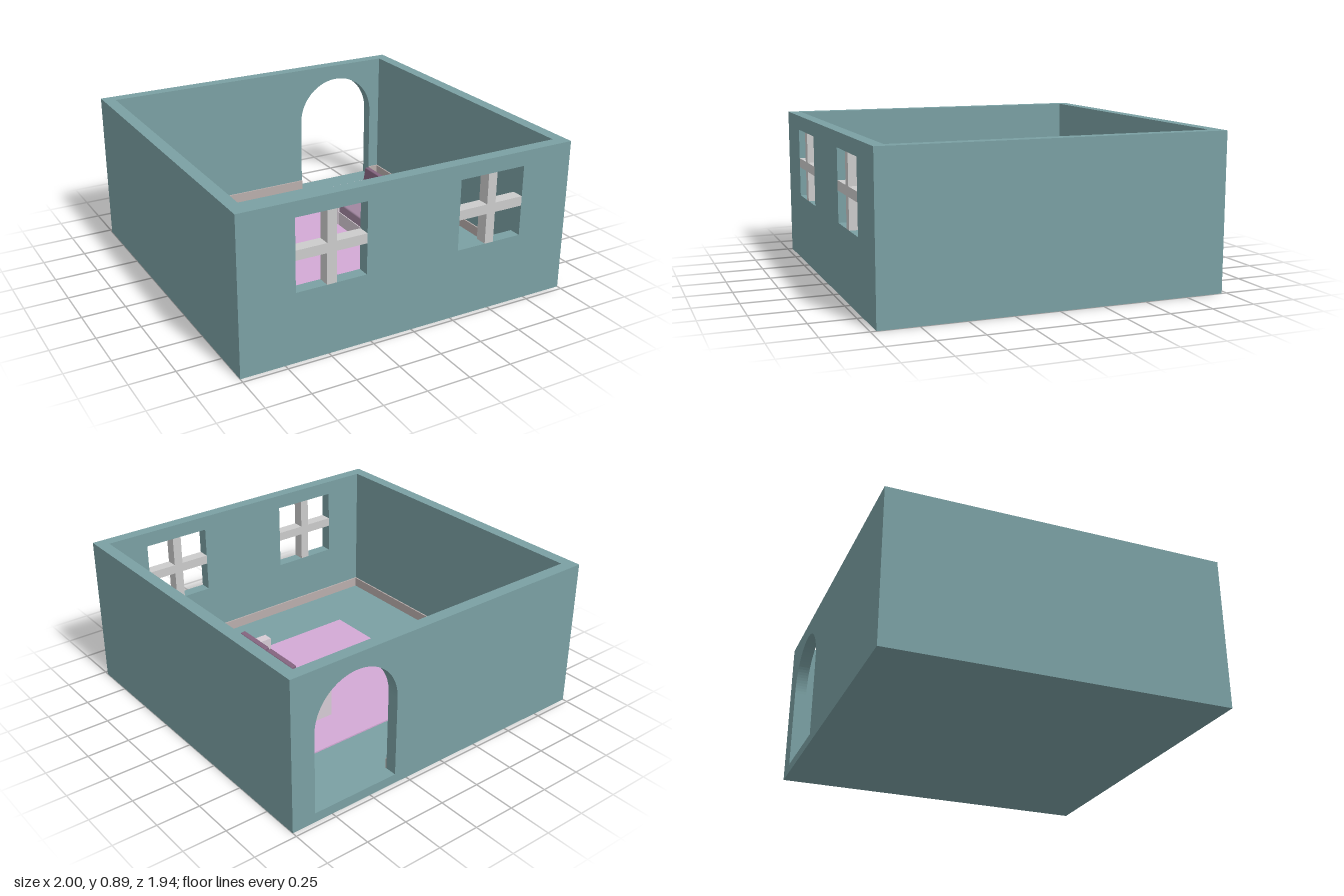
import * as THREE from 'three';
import { RoundedBoxGeometry } from 'three/addons/geometries/RoundedBoxGeometry.js';

const material = (color) => new THREE.MeshStandardMaterial({ color });
const W = 1, D = 0.97, H = 0.89; // half width, half depth, height
const T = 0.07, FLOOR = 0.055;

export function createModel() {
  const model = new THREE.Group();
  const teal = material(0x7aa0a3), grey = material(0xcccccc), trim = material(0xb9aeac);
  const pink = material(0xd3a9d5), cream = material(0xd6cbd4), purple = material(0xa186a0), plum = material(0x84647f);

  const add = (name, geometry, mat, parent = model) => {
    const mesh = new THREE.Mesh(geometry, mat);
    mesh.name = name;
    parent.add(mesh);
    return mesh;
  };
  // Box given by its lower and upper corners
  const box = (name, x0, x1, y0, y1, z0, z1, mat, parent, radius = 0) => {
    const size = [x1 - x0, y1 - y0, z1 - z0];
    const g = radius ? new RoundedBoxGeometry(...size, 2, radius) : new THREE.BoxGeometry(...size);
    const mesh = add(name, g, mat, parent);
    mesh.position.set((x0 + x1) / 2, (y0 + y1) / 2, (z0 + z1) / 2);
    return mesh;
  };
  // Wall across x with openings cut through it
  const wall = (name, z, holes) => {
    const shape = new THREE.Shape([[-W, 0], [W, 0], [W, H], [-W, H]].map((p) => new THREE.Vector2(...p)));
    shape.holes.push(...holes);
    const g = new THREE.ExtrudeGeometry(shape, { depth: T, bevelEnabled: false, curveSegments: 24 });
    add(name, g, teal).position.z = z;
  };

  // Front wall with two square windows
  const winX = 0.484, winY = 0.602, winR = 0.203, bar = 0.0275;
  const windows = [-winX, winX].map((x) => new THREE.Path(
    [[-1, -1], [-1, 1], [1, 1], [1, -1]].map(([a, b]) => new THREE.Vector2(x + a * winR, winY + b * winR))));
  wall('frontWall', D - T, windows);

  // Window bars
  for (const x of [-winX, winX]) {
    const cross = new THREE.Group();
    cross.name = 'windowBars';
    model.add(cross);
    box('verticalBar', x - bar, x + bar, winY - winR, winY + winR, D - T, D, grey, cross);
    for (const [a, b] of [[-winR, -bar], [bar, winR]]) {
      box('horizontalBar', x + a, x + b, winY - bar, winY + bar, D - T, D, grey, cross);
    }
  }

  // Back wall with an arched doorway
  const doorL = 0.33, doorR = 0.86, r = (doorR - doorL) / 2, spring = 0.797 - r;
  const door = new THREE.Path();
  door.moveTo(doorL, FLOOR);
  door.lineTo(doorR, FLOOR);
  door.lineTo(doorR, spring);
  door.absarc((doorL + doorR) / 2, spring, r, 0, Math.PI, false);
  door.lineTo(doorL, FLOOR);
  wall('backWall', -D, [door]);

  // Side walls and floor
  const ix = W - T, iz = D - T;
  box('leftWall', ix, W, 0, H, -iz, iz, teal);
  box('rightWall', -W, -ix, 0, H, -iz, iz, teal);
  box('floor', -ix, ix, 0, FLOOR, -iz, iz, teal);

  // Skirting boards, left open at the doorway
  const s = 0.009, sTop = 0.115;
  box('leftSkirting', ix - s, ix, FLOOR, sTop, -iz, iz, trim);
  box('rightSkirting', -ix, -ix + s, FLOOR, sTop, -iz, iz, trim);
  box('frontSkirting', -ix + s, ix - s, FLOOR, sTop, iz - s, iz, trim);
  box('backSkirting', -ix + s, doorL, FLOOR, sTop, -iz, -iz + s, trim);
  box('backSkirting', doorR, ix - s, FLOOR, sTop, -iz, -iz + s, trim);

  // Rug
  box('rug', -0.505, 0.605, FLOOR, FLOOR + 0.008, -0.56, 0.55, pink);

  // Sofa facing the model's right
  const sofa = new THREE.Group();
  sofa.name = 'sofa';
  model.add(sofa);
  const y0 = FLOOR + 0.008, armTop = 0.3;
  box('sofaBack', 0.465, 0.55, y0, armTop, -0.32, 0.33, cream, sofa);
  box('sofaArm', 0.245, 0.465, y0, armTop, -0.32, -0.255, cream, sofa);
  box('sofaArm', 0.245, 0.465, y0, armTop, 0.272, 0.33, cream, sofa);
  box('sofaBase', 0.25, 0.465, y0, 0.15, -0.255, 0.272, cream, sofa);
  box('seatCushion', 0.25, 0.463, 0.15, 0.215, -0.248, 0.266, purple, sofa, 0.01);
  for (const [a, b] of [[-0.24, 0.002], [0.02, 0.264]]) {
    const cushion = box('backCushion', 0.416, 0.449, 0.21, 0.42, a, b, plum, sofa, 0.006);
    cushion.rotation.z = -0.16;
  }
  return model;
}
